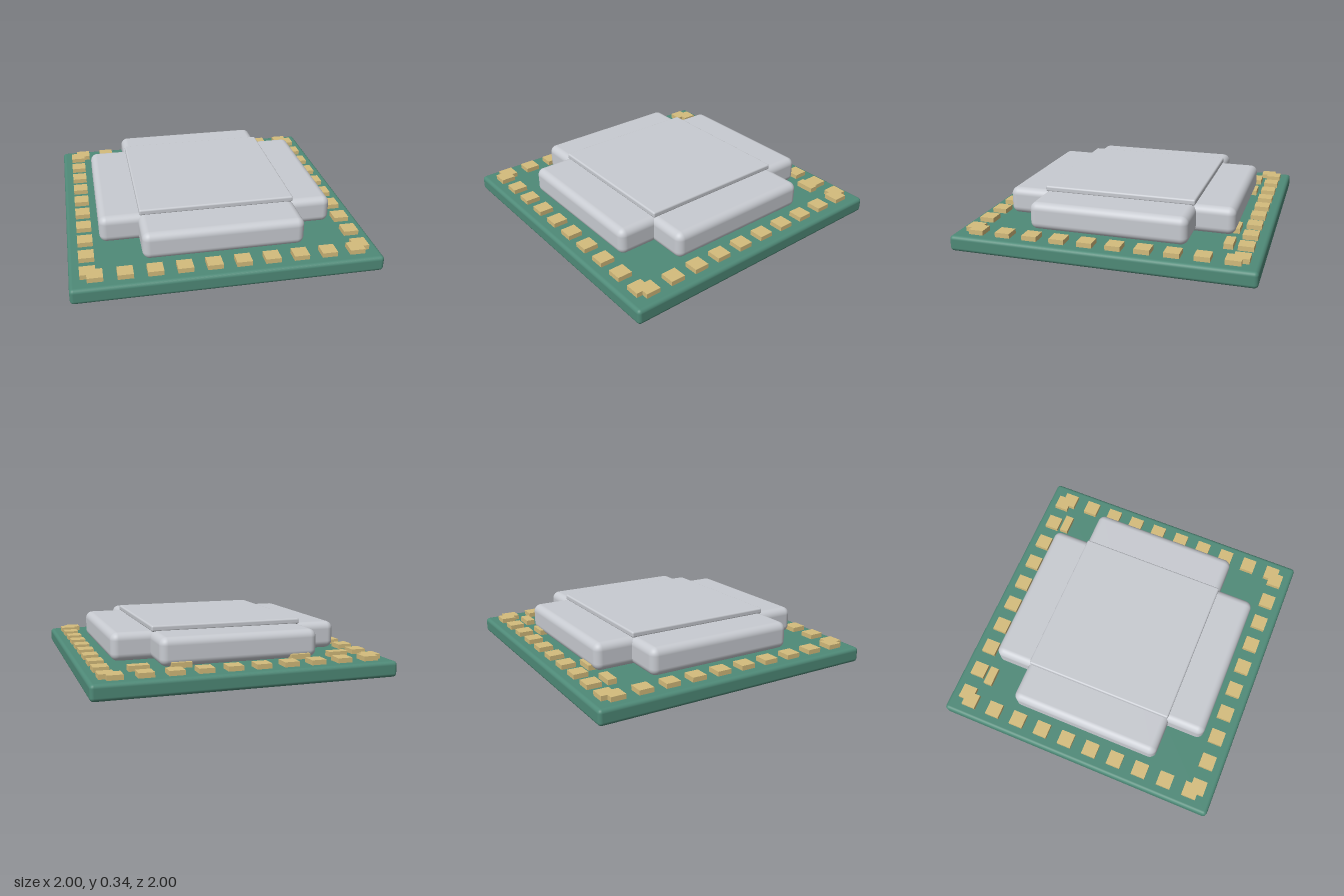
import * as THREE from 'three';
import { RoundedBoxGeometry } from 'three/addons/geometries/RoundedBoxGeometry.js';

const material = (color) => new THREE.MeshStandardMaterial({ color });

export function createModel() {
  const model = new THREE.Group();
  const green = material(0x4f8a78);
  const metal = material(0xc8cbd1);
  const gold = material(0xd4bc7c);

  function add(parent, name, geometry, mat, x, y, z) {
    const mesh = new THREE.Mesh(geometry, mat);
    mesh.name = name;
    mesh.position.set(x, y, z);
    parent.add(mesh);
  }

  // Circuit board with softly rounded edges
  add(model, 'board', new RoundedBoxGeometry(2, 0.105, 2, 4, 0.025), green, 0, 0.0525, 0);

  // Metal shield: two crossed rounded blocks and a thin lid
  const shield = new THREE.Group();
  shield.name = 'shield';
  model.add(shield);
  add(shield, 'shieldWide', new RoundedBoxGeometry(1.57, 0.185, 1.06, 5, 0.05), metal, 0, 0.213, 0);
  add(shield, 'shieldDeep', new RoundedBoxGeometry(1.06, 0.185, 1.57, 5, 0.05), metal, 0, 0.213, 0);
  add(shield, 'shieldLid', new RoundedBoxGeometry(1.04, 0.04, 1.04, 3, 0.012), metal, 0, 0.32, 0);

  // Contact pads: ten along each edge, overlapping at the corners
  const pads = new THREE.Group();
  pads.name = 'contactPads';
  model.add(pads);
  const padGeometry = new THREE.BoxGeometry(0.1, 0.035, 0.1);
  for (let i = 0; i < 10; i++) {
    const t = -0.84 + (i * 1.68) / 9;
    for (const side of [-1, 1]) {
      add(pads, 'rowPad', padGeometry, gold, t, 0.1195, side * 0.882);
      add(pads, 'columnPad', padGeometry, gold, side * 0.882, 0.1195, t);
    }
  }

  // Small components along the back, partly tucked under the shield
  const chipGeometry = new THREE.BoxGeometry(0.13, 0.035, 0.06);
  for (const x of [-0.67, -0.4, 0.4, 0.67]) {
    add(model, 'backComponent', chipGeometry, gold, x, 0.137, -0.777);
  }
  return model;
}
